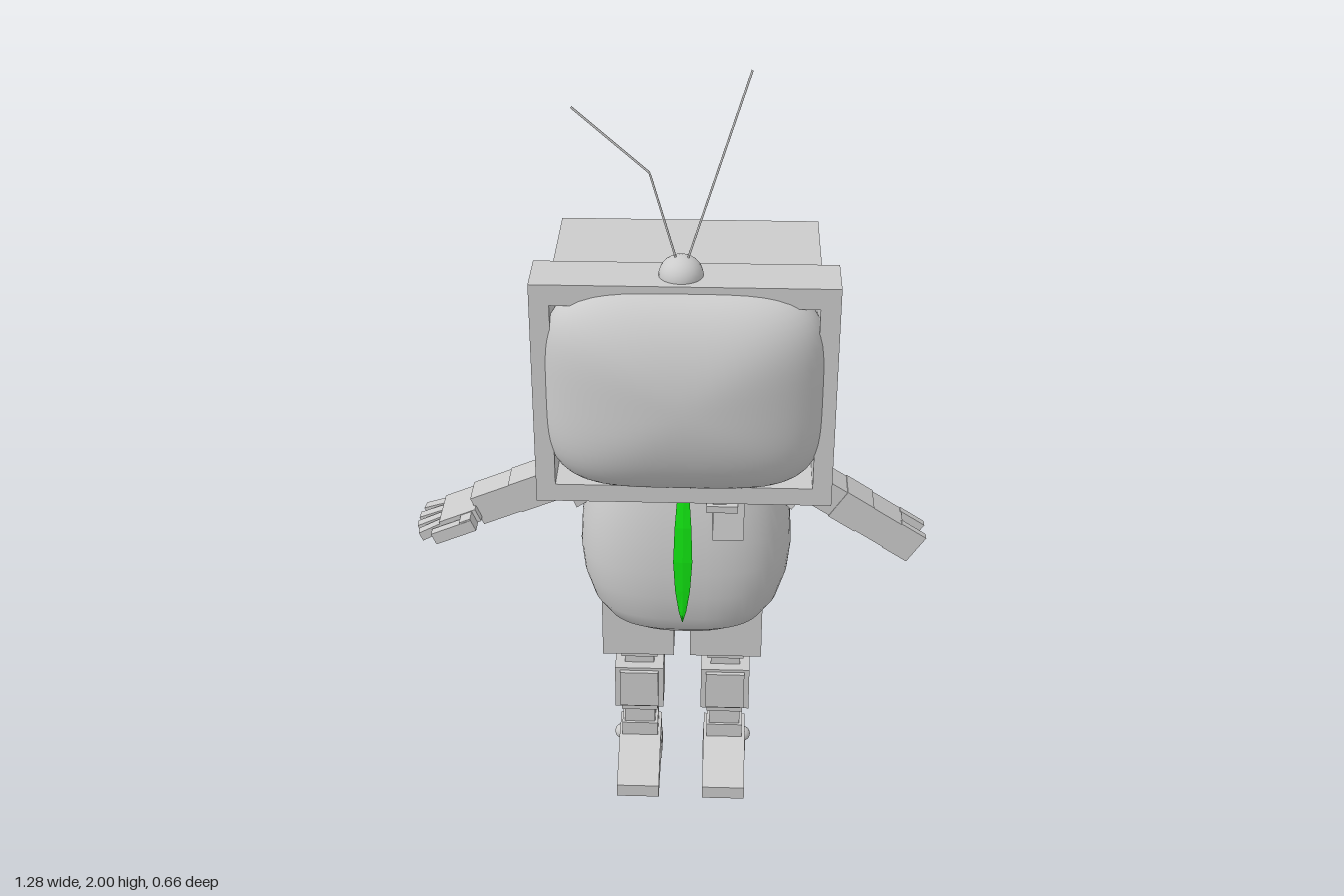
import * as THREE from 'three';
import { mergeVertices } from 'three/addons/utils/BufferGeometryUtils.js';

const grey = new THREE.MeshStandardMaterial({ color: 0xcccccc });
const flat = new THREE.MeshStandardMaterial({ color: 0xcccccc, flatShading: true, side: THREE.DoubleSide });
const green = new THREE.MeshStandardMaterial({ color: 0x11dd11, side: THREE.DoubleSide });
const CX = 0.0375;

function add(parent, name, geo, mat = grey, x = 0, y = 0, z = 0) {
  const m = new THREE.Mesh(geo, mat);
  m.name = name;
  m.position.set(x, y, z);
  parent.add(m);
  return m;
}

// Box given by its two extreme corners
function box(parent, name, [x0, y0, z0], [x1, y1, z1]) {
  return add(parent, name, new THREE.BoxGeometry(x1 - x0, y1 - y0, z1 - z0), grey,
    (x0 + x1) / 2, (y0 + y1) / 2, (z0 + z1) / 2);
}

function rect(Kind, x, y, w, h) {
  return new Kind([[-1, -1], [1, -1], [1, 1], [-1, 1]].map(
    ([a, b]) => new THREE.Vector2(x + a * w / 2, y + b * h / 2)));
}

const extrude = (shape, depth) => new THREE.ExtrudeGeometry(shape, { depth, bevelEnabled: false });

function smooth(geo) {
  geo.deleteAttribute('uv');
  geo.deleteAttribute('normal');
  const g = mergeVertices(geo, 1e-5);
  g.computeVertexNormals();
  return g;
}

// Skin over rings of points, each ring closed
function loft(rings) {
  const n = rings[0].length, idx = [];
  for (let i = 0; i < rings.length - 1; i++) {
    for (let j = 0; j < n; j++) {
      const a = i * n + j, b = i * n + (j + 1) % n;
      idx.push(a, a + n, b, b, a + n, b + n);
    }
  }
  const g = new THREE.BufferGeometry();
  g.setAttribute('position', new THREE.Float32BufferAttribute(rings.flat(2), 3));
  g.setIndex(idx);
  return g;
}

function buildHead(root) {
  const head = new THREE.Group();
  head.name = 'head';
  root.add(head);

  // Front frame with its opening
  const frame = rect(THREE.Shape, CX, 1.2525, 0.685, 0.555);
  frame.holes.push(rect(THREE.Path, CX, 1.25, 0.595, 0.46));
  add(head, 'screenFrame', extrude(frame, 0.125), grey, 0, 0, 0.095);

  // Bulging screen: sphere pushed to a rounded rectangle
  const screen = new THREE.SphereGeometry(1, 64, 40), p = screen.attributes.position;
  for (let i = 0; i < p.count; i++) {
    const x = p.getX(i), y = p.getY(i), z = p.getZ(i);
    const s = 1 / Math.sqrt(Math.pow(x ** 4 + y ** 4, 0.5) + z * z);
    p.setXYZ(i, x * s * 0.32, y * s * 0.255, z * s * 0.138);
  }
  add(head, 'screen', smooth(screen), grey, CX, 1.265, 0.188);

  // Case and its shallow tapered back
  box(head, 'case', [-0.27, 1.02, -0.247], [0.345, 1.485, 0.1]);
  const quad = (x0, x1, y0, y1, z0, z1) => [[x0, y0, z0], [x1, y0, z1], [x1, y1, z1], [x0, y1, z0]];
  const inner = quad(-0.15, 0.195, 1.19, 1.315, -0.27, -0.255);
  add(head, 'caseBack', loft([quad(-0.27, 0.345, 1.02, 1.485, -0.247, -0.247), inner,
    inner.map(() => [CX, 1.25, -0.262])]), flat);

  // Wedge standing out from the back
  const wedge = new THREE.Shape([[-0.15, -0.25], [0.195, -0.25], [-0.13, -0.33]].map(
    ([x, z]) => new THREE.Vector2(x, -z)));
  add(head, 'backWedge', extrude(wedge, 0.125).rotateX(-Math.PI / 2), grey, 0, 1.19, 0);

  // Antennas on a small dome
  const dome = add(head, 'antennaDome', new THREE.SphereGeometry(0.05, 24, 16), grey, 0.028, 1.53, 0.157);
  dome.scale.y = 0.92;
  for (const pts of [[[0.04, 1.56], [0.175, 2]], [[0.02, 1.56], [-0.04, 1.77], [-0.205, 1.915]]]) {
    const path = new THREE.CurvePath();
    for (let i = 1; i < pts.length; i++) {
      path.add(new THREE.LineCurve3(new THREE.Vector3(...pts[i - 1], 0.16), new THREE.Vector3(...pts[i], 0.16)));
    }
    add(head, 'antenna', new THREE.TubeGeometry(path, 24, 0.0025, 6));
  }
}

function buildBody(root) {
  // Rows: height, half width, back z, front z
  const rows = [[0.487, 0.002, -0.06, -0.056], [0.49, 0.1, -0.16, 0.03], [0.505, 0.16, -0.215, 0.08],
    [0.535, 0.205, -0.25, 0.115], [0.58, 0.235, -0.262, 0.135], [0.65, 0.256, -0.265, 0.145],
    [0.72, 0.263, -0.264, 0.146], [0.8, 0.258, -0.258, 0.14], [0.88, 0.243, -0.25, 0.127],
    [0.96, 0.218, -0.24, 0.108], [1.02, 0.19, -0.225, 0.09], [1.06, 0.1, -0.15, 0.05]];
  const round = v => Math.sign(v) * Math.abs(v) ** (2 / 2.8);
  const rings = rows.map(([y, hx, zb, zf]) => Array.from({ length: 56 }, (_, j) => {
    const a = -j / 56 * Math.PI * 2;
    return [CX + hx * round(Math.cos(a)), y, (zb + zf) / 2 + (zf - zb) / 2 * round(Math.sin(a))];
  }));
  const geo = loft(rings);
  geo.computeVertexNormals();
  add(root, 'body', geo, new THREE.MeshStandardMaterial({ color: 0xcccccc, side: THREE.DoubleSide }));

  // Tie hanging in a curve: height, half width, z
  const tie = [[1.0, 0.008, 0.125], [0.95, 0.014, 0.145], [0.87, 0.02, 0.166], [0.78, 0.023, 0.179],
    [0.7, 0.018, 0.184], [0.64, 0.009, 0.186], [0.61, 0.001, 0.186]];
  add(root, 'tie', loft(tie.map(([y, w, z]) =>
    [[0.035 - w, y, z], [0.035, y, z + 0.002], [0.035 + w, y, z], [0.035, y, z - 0.002]])), green);

  // Chest pocket with a pen clip
  const pocket = box(root, 'pocket', [0.105, 0.82, 0.122], [0.18, 0.925, 0.134]);
  pocket.rotation.set(-0.17, 0.08, 0);
  box(root, 'penClip', [0.09, 0.897, 0.115], [0.165, 0.915, 0.139]);

  // Framed panel on the back with a simple face cut out
  const panel = new THREE.Group();
  panel.name = 'backPanel';
  panel.position.set(CX, 0.81, -0.256);
  panel.rotation.set(0.09, Math.PI, 0);
  root.add(panel);
  const rim = rect(THREE.Shape, 0, 0, 0.2, 0.22);
  rim.holes.push(rect(THREE.Path, 0, 0, 0.175, 0.195));
  add(panel, 'panelRim', extrude(rim, 0.018), grey, 0, 0, -0.01);
  const face = rect(THREE.Shape, 0, 0, 0.176, 0.196);
  for (const s of [-1, 1]) face.holes.push(rect(THREE.Path, s * 0.034, 0.045, 0.026, 0.045));
  const mouth = new THREE.Path();
  mouth.moveTo(-0.045, -0.03);
  mouth.quadraticCurveTo(0, -0.09, 0.045, -0.03);
  mouth.quadraticCurveTo(0, -0.045, -0.045, -0.03);
  face.holes.push(mouth);
  add(panel, 'panelFace', extrude(face, 0.012), grey, 0, 0, -0.009);
}

// Arm laid out along its own +x from the sleeve opening
function buildArm(root, name, x, angle, cuts) {
  const arm = new THREE.Group();
  arm.name = name;
  arm.position.set(x, 0.88, -0.065);
  arm.rotation.z = angle;
  root.add(arm);
  const sleeve = new THREE.BoxGeometry(0.13, 0.12, 0.155), p = sleeve.attributes.position;
  for (let i = 0; i < p.count; i++) {
    if (p.getX(i) < 0) p.setXYZ(i, p.getX(i), p.getY(i) * 0.75, p.getZ(i) * 0.7);
  }
  add(arm, 'sleeve', sleeve, flat, -0.065);
  for (let i = 1; i < cuts.length; i++) {
    const w = i % 2 ? 0.04 : 0.042;
    box(arm, 'armSegment', [cuts[i - 1], -w, -w], [cuts[i], w, w]);
  }
  return arm;
}

function buildArms(root) {
  // Left arm ends in a two-pronged claw
  const left = buildArm(root, 'leftArm', 0.33, -0.58, [-0.02, 0.1, 0.18, 0.27]);
  for (const s of [-1, 1]) {
    add(left, 'clawProng', new THREE.BoxGeometry(0.075, 0.084, 0.02), grey, 0.303, 0, s * 0.03);
  }

  // Right arm ends in an open hand
  const right = buildArm(root, 'rightArm', -0.255, Math.PI + 0.4, [-0.02, 0.04, 0.145, 0.25]);
  box(right, 'palm', [0.245, -0.018, -0.065], [0.345, 0.018, 0.06]);
  for (let i = 0; i < 4; i++) {
    const t = i - 1.5;
    const finger = add(right, 'finger', new THREE.BoxGeometry(0.1, 0.024, 0.025), grey,
      0.368 - Math.abs(t) * 0.008, 0, t * 0.034 - 0.003);
    finger.rotation.y = -t * 0.12;
  }
  box(right, 'thumbBase', [0.255, -0.016, 0.05], [0.285, 0.02, 0.095]);
  box(right, 'thumb', [0.255, -0.012, 0.072], [0.365, 0.02, 0.096]);
}

function buildLeg(root, side) {
  const leg = new THREE.Group();
  leg.name = side > 0 ? 'leftLeg' : 'rightLeg';
  leg.position.set(0.03 + side * 0.112, 0, -0.055);
  root.add(leg);
  // Stacked blocks: name, bottom, top, half width, half depth
  const blocks = [['trouserLeg', 0.395, 0.58, 0.091, 0.09], ['thighRod', 0.33, 0.4, 0.038, 0.038],
    ['thighCollar', 0.355, 0.377, 0.047, 0.047], ['kneeBlock', 0.205, 0.33, 0.063, 0.064],
    ['shinCollar', 0.18, 0.2, 0.047, 0.047], ['shinRod', 0.09, 0.21, 0.04, 0.04],
    ['ankleCollar', 0.095, 0.135, 0.047, 0.047]];
  for (const [name, y0, y1, w, d] of blocks) box(leg, name, [-w, y0, -d], [w, y1, d]);
  box(leg, 'kneePlate', [-0.05, 0.215, 0.06], [0.05, 0.322, 0.075]);

  // Wedge-shaped foot on a thin sole
  const shape = new THREE.Shape([[-0.05, 0], [0.185, 0], [0.185, 0.036], [0.038, 0.095], [-0.05, 0.095]].map(
    ([z, y]) => new THREE.Vector2(-z, y)));
  const foot = extrude(shape, 0.11).translate(0, 0, -0.055).rotateY(Math.PI / 2);
  add(leg, 'foot', foot);
  box(leg, 'sole', [-0.057, 0, -0.05], [0.057, 0.04, 0.03]);
  add(leg, 'ankleBolt', new THREE.SphereGeometry(0.02, 16, 12), grey, side * 0.05, 0.068, 0);
}

export function createModel() {
  const root = new THREE.Group();
  root.name = 'robot';
  buildHead(root);
  buildBody(root);
  buildArms(root);
  for (const side of [-1, 1]) buildLeg(root, side);
  return root;
}
